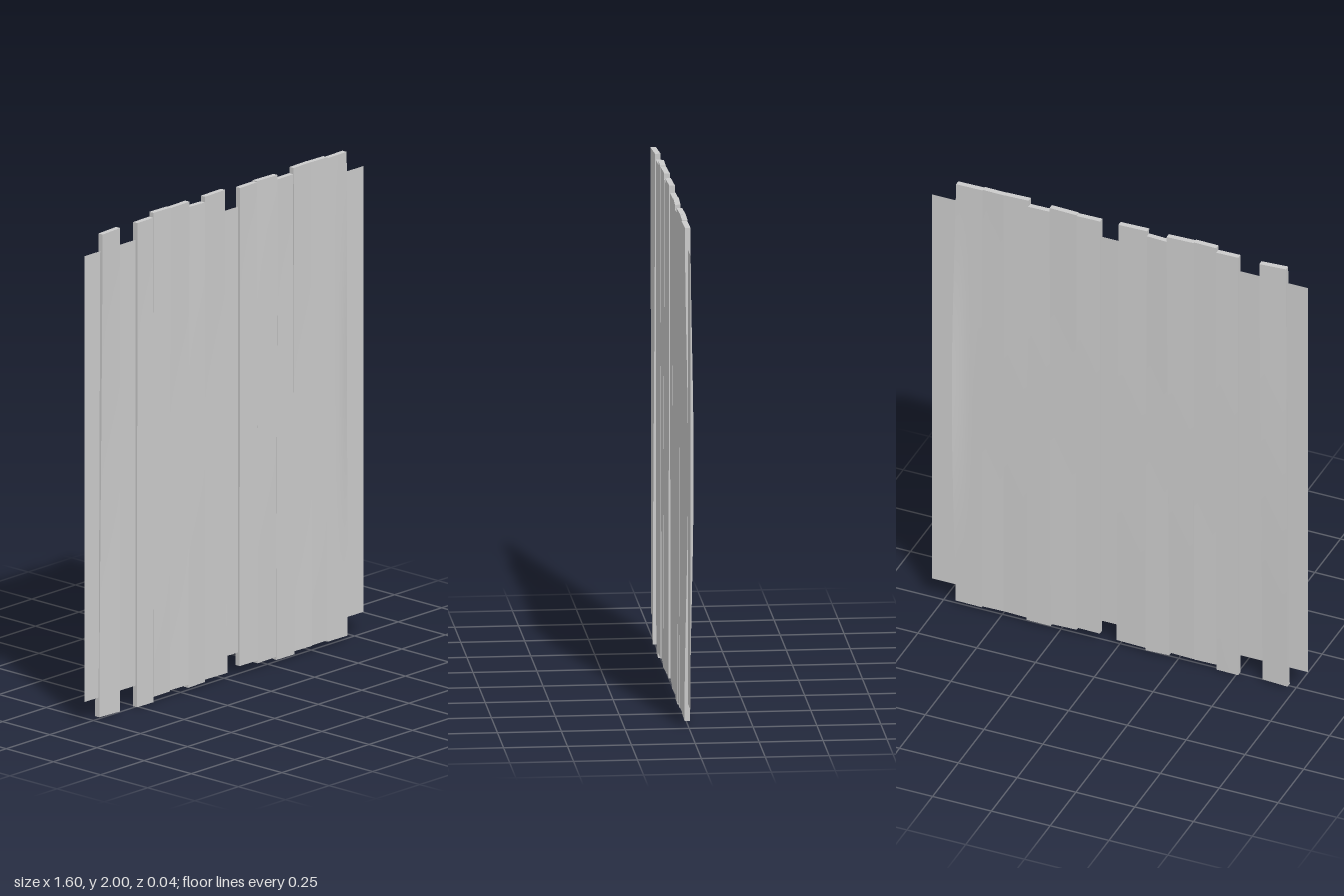
import * as THREE from 'three';

const THICK = 0.022;

// Each plank: [left, right] at the top and bottom, end heights, depth offset,
// sideways bow at mid height, twist (depth change across the ends), edge roll-off
const PLANKS = [
  { top: [-0.71, -0.6], bottom: [-0.72, -0.61], y: [0.01, 1.98], z: -0.003, twist: 0.004 },
  { top: [-0.508, -0.415], bottom: [-0.508, -0.415], y: [0.003, 1.98], z: -0.002, twist: 0.001 },
  { top: [-0.415, -0.32], bottom: [-0.415, -0.32], y: [0.025, 2.0], z: -0.001, twist: -0.001 },
  { top: [-0.32, -0.205], bottom: [-0.32, -0.215], y: [0.028, 1.997], z: -0.003, twist: 0.002 },
  { top: [-0.205, -0.12], bottom: [-0.215, -0.115], y: [0.015, 1.975], z: -0.004, twist: -0.002 },
  { top: [-0.12, 0], bottom: [-0.115, 0.01], y: [0.025, 1.998], z: -0.003, twist: 0.002 },
  { top: [0.08, 0.18], bottom: [0.08, 0.18], y: [0.036, 1.988], z: -0.001, twist: 0.001 },
  { top: [0.18, 0.295], bottom: [0.18, 0.29], y: [0.025, 1.992], z: -0.001, twist: -0.002 },
  { top: [0.295, 0.385], bottom: [0.29, 0.393], y: [0.013, 1.974], z: 0, twist: 0.001 },
  { top: [0.385, 0.49], bottom: [0.393, 0.49], y: [0.025, 2.0], z: 0.001, twist: 0.002 },
  { top: [0.49, 0.58], bottom: [0.49, 0.583], y: [0.026, 1.999], z: 0, twist: -0.001 },
  { top: [0.58, 0.692], bottom: [0.583, 0.695], y: [0.02, 1.995], z: 0.001, twist: 0.001, bow: 0.012, roll: 0.012 },
];

// Subdivided board, warped along its length
function plankGeometry({ top, bottom, y, z, twist, bow = 0, roll = 0 }) {
  const geo = new THREE.BoxGeometry(1, 1, THICK, 6, 14, 1);
  const pos = geo.attributes.position;
  for (let i = 0; i < pos.count; i++) {
    const u = pos.getX(i) + 0.5;
    const v = pos.getY(i) + 0.5;
    const mid = Math.sin(Math.PI * v);
    const left = THREE.MathUtils.lerp(bottom[0], top[0], v);
    const right = THREE.MathUtils.lerp(bottom[1], top[1], v) + bow * mid;
    const edge = Math.max(0, (u - 0.4) / 0.6);
    pos.setXYZ(
      i,
      THREE.MathUtils.lerp(left, right, u),
      THREE.MathUtils.lerp(y[0], y[1], v),
      pos.getZ(i) + z + twist * (u - 0.5) * Math.cos(Math.PI * v) * 2 - roll * edge * edge * mid * mid
    );
  }
  geo.computeVertexNormals();
  return geo;
}

export function createModel() {
  const group = new THREE.Group();
  group.name = 'plankPanel';

  // Thin sheet seen in the gaps between boards
  const sheet = new THREE.Mesh(
    new THREE.PlaneGeometry(1.6, 1.82),
    new THREE.MeshStandardMaterial({ color: 0xcccccc, side: THREE.DoubleSide })
  );
  sheet.name = 'backingSheet';
  sheet.position.y = 1;
  group.add(sheet);

  // Upright boards
  const wood = new THREE.MeshStandardMaterial({ color: 0xcccccc });
  PLANKS.forEach((p, i) => {
    const plank = new THREE.Mesh(plankGeometry(p), wood);
    plank.name = `plank${i + 1}`;
    group.add(plank);
  });
  return group;
}
